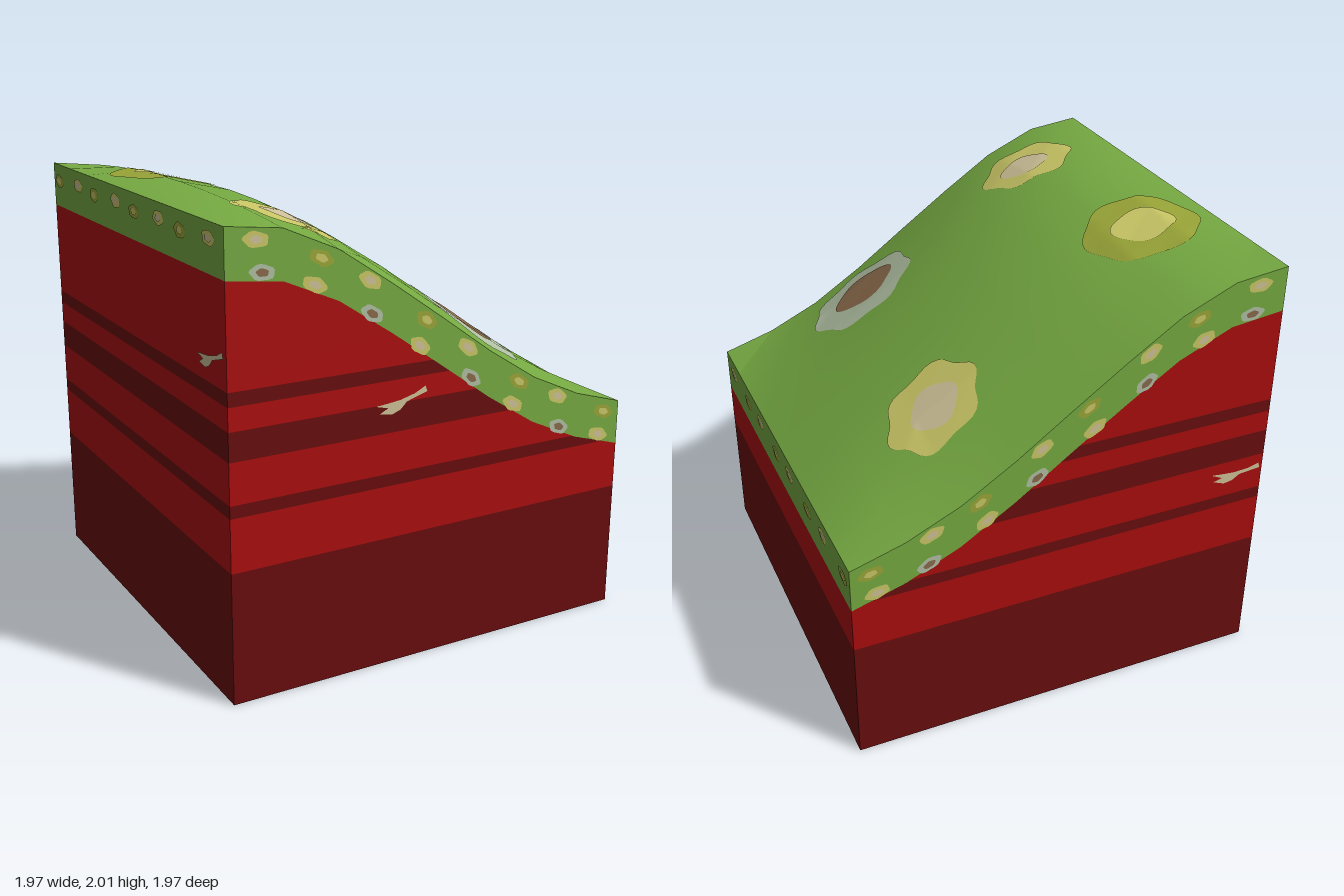
import * as THREE from 'three';

const W = 0.98, N = 8, STEP = (2 * W) / N, TURF = 0.205;
// Terrain heights along x: at the front/back rims and along the middle ridge
const RIM = [1.98, 1.953, 1.847, 1.686, 1.515, 1.34, 1.185, 1.073, 1.0];
const RIDGE = [1.98, 2.0, 1.943, 1.828, 1.68, 1.515, 1.345, 1.172, 1.0];

const gridX = (i) => -W + i * STEP;
const node = (i, j) => {
  const t = gridX(j) / W;
  return RIM[i] + (RIDGE[i] - RIM[i]) * (1 - t * t);
};

// Height of the faceted terrain at any point
function height(x, z) {
  const gx = (x + W) / STEP, gz = (z + W) / STEP;
  const i = Math.min(N - 1, Math.max(0, Math.floor(gx)));
  const j = Math.min(N - 1, Math.max(0, Math.floor(gz)));
  const u = gx - i, v = gz - j;
  const a = node(i, j), b = node(i, j + 1), c = node(i + 1, j + 1), d = node(i + 1, j);
  return u + v <= 1 ? a + u * (d - a) + v * (b - a) : c + (1 - u) * (b - c) + (1 - v) * (d - c);
}

// Underside of the turf, and the x where it falls to a given level
const soil = RIM.map((y, i) => new THREE.Vector2(gridX(i), y - TURF));
function soilX(y) {
  if (y <= soil[N].y) return W;
  for (let i = 0; i < N; i++) {
    const p = soil[i], q = soil[i + 1];
    if (y <= p.y && y >= q.y) return p.x + ((p.y - y) / (p.y - q.y)) * (q.x - p.x);
  }
  return -W;
}

// Irregular rounded outline
function blob(rx, ry, lobes, phase, wobble, n) {
  return Array.from({ length: n }, (_, k) => {
    const a = (k / n) * Math.PI * 2;
    const r = 1 + wobble * Math.sin(lobes * a + phase) + wobble * 0.5 * Math.sin(2 * a + phase * 2);
    return new THREE.Vector2(Math.cos(a) * rx * r, Math.sin(a) * ry * r);
  });
}

export function createModel() {
  const model = new THREE.Group();
  const mat = (name, color) => {
    const m = new THREE.MeshStandardMaterial({ color });
    m.name = name;
    return m;
  };
  const red = mat('red soil', 0xac0e0e);
  const dark = mat('dark red soil', 0x690d0d);
  const green = mat('grass green', 0x76aa42);
  const straw = mat('straw yellow', 0xcac766);
  const beige = mat('beige', 0xcfc298);
  const olive = mat('olive', 0x9aa638);
  const grey = mat('grey green', 0xb1c0a3);
  const brown = mat('brown', 0x8a6a4b);

  const add = (parent, name, geometry, material) => {
    const mesh = new THREE.Mesh(geometry, material);
    mesh.name = name;
    parent.add(mesh);
    return mesh;
  };
  const slab = (name, points, material) => {
    const g = new THREE.ExtrudeGeometry(new THREE.Shape(points), { depth: 2 * W, bevelEnabled: false });
    g.translate(0, 0, -W);
    add(model, name, g, material);
  };

  // Soil layers, cut off by the slope
  const levels = [0, 0.585, 0.82, 0.875, 1.055, 1.18, 1.28, 1.34, soil[0].y];
  for (let k = 0; k < levels.length - 1; k++) {
    const y0 = levels[k], y1 = levels[k + 1];
    const slope = soil.filter((p) => p.y > y0 + 1e-4 && p.y < y1 - 1e-4).reverse();
    const pts = [new THREE.Vector2(-W, y0), new THREE.Vector2(soilX(y0), y0), ...slope];
    if (soilX(y1) > -W) pts.push(new THREE.Vector2(soilX(y1), y1));
    pts.push(new THREE.Vector2(-W, y1));
    slab('soilLayer', pts, k % 2 ? red : dark);
  }

  // Turf band around the sides
  const rim = RIM.map((y, i) => new THREE.Vector2(gridX(i), y));
  slab('turfBand', [...soil, ...rim.reverse()], green);

  // Rolling grass surface
  const top = new THREE.PlaneGeometry(2 * W, 2 * W, N, N).rotateX(-Math.PI / 2);
  const pos = top.attributes.position;
  for (let j = 0; j <= N; j++) {
    for (let i = 0; i <= N; i++) pos.setY(j * (N + 1) + i, node(i, j));
  }
  top.computeVertexNormals();
  add(model, 'grassTop', top, green);

  // Patches draped over the grass
  function patch(name, cx, cz, rx, rz, lobes, phase, wobble, lift, material) {
    const outline = blob(rx, rz, lobes, phase, wobble, 48), rings = 8, n = outline.length;
    const v = [], idx = [];
    for (let r = 0; r <= rings; r++) {
      for (const p of outline) {
        const x = cx + (p.x * r) / rings, z = cz + (p.y * r) / rings;
        v.push(x, height(x, z) + lift, z);
      }
    }
    for (let r = 0; r < rings; r++) {
      for (let k = 0; k < n; k++) {
        const a = r * n + k, b = r * n + ((k + 1) % n), c = a + n, d = b + n;
        if (r > 0) idx.push(a, b, c);
        idx.push(b, d, c);
      }
    }
    const g = new THREE.BufferGeometry();
    g.setAttribute('position', new THREE.Float32BufferAttribute(v, 3));
    g.setIndex(idx);
    g.computeVertexNormals();
    add(model, name, g, material);
  }
  const patches = [
    ['olivePatch', -0.645, -0.35, 0.25, 0.255, 6, 0.4, 0.04, olive, -0.645, -0.36, 0.135, 0.13, straw],
    ['strawPatch', 0.415, -0.48, 0.205, 0.21, 6, 2.2, 0.07, straw, 0.41, -0.49, 0.105, 0.11, beige],
    ['strawPatch', -0.54, 0.615, 0.205, 0.21, 6, 0.6, 0.07, straw, -0.52, 0.605, 0.11, 0.1, beige],
    ['greyPatch', 0.345, 0.64, 0.24, 0.25, 7, 1.6, 0.05, grey, 0.33, 0.655, 0.14, 0.135, brown],
  ];
  for (const [name, x, z, rx, rz, lobes, phase, wobble, outer, ix, iz, irx, irz, inner] of patches) {
    patch(name, x, z, rx, rz, lobes, phase, wobble, 0.005, outer);
    patch(name + 'Centre', ix, iz, irx, irz, 4, phase, 0.06, 0.009, inner);
  }

  // Painted details on one side wall
  function wall(name, angle) {
    const g = new THREE.Group();
    g.name = name;
    g.rotation.y = angle;
    model.add(g);
    return g;
  }
  function pebble(parent, x, y, tilt, [outer, inner]) {
    [[outer, 1, 0.003], [inner, 0.5, 0.005]].forEach(([m, s, z]) => {
      const shape = new THREE.Shape(blob(0.056 * s, 0.031 * s, 5, x * 9, 0.07, 18));
      const mesh = add(parent, 'pebble', new THREE.ShapeGeometry(shape), m);
      mesh.position.set(x, y, W + z);
      mesh.rotation.z = tilt;
    });
  }
  function bone(parent, x, y, tilt) {
    const pts = [[-0.13, 0], [-0.07, 0.005], [-0.01, 0.012], [0.06, 0.03], [0.11, 0.055], [0.12, 0.03],
      [0.07, 0.015], [0.02, 0], [-0.01, -0.03], [-0.05, -0.045], [-0.11, -0.035], [-0.07, -0.015]];
    const shape = new THREE.Shape(pts.map(([a, b]) => new THREE.Vector2(a, b)).reverse());
    const mesh = add(parent, 'bone', new THREE.ShapeGeometry(shape), beige);
    mesh.position.set(x, y, W + 0.004);
    mesh.rotation.z = tilt;
  }
  const plain = [straw, beige], ochre = [olive, straw], stone = [grey, brown];

  // Front and back: a row of pebbles following the slope
  const front = wall('frontDetails', 0), back = wall('backDetails', Math.PI);
  const row = [
    [-0.85, 1.92, plain], [-0.825, 1.792, stone], [-0.57, 1.822, ochre], [-0.6, 1.72, plain],
    [-0.35, 1.71, plain], [-0.34, 1.573, stone], [-0.08, 1.515, ochre], [-0.11, 1.41, plain],
    [0.13, 1.37, plain], [0.15, 1.235, stone], [0.405, 1.18, ochre], [0.375, 1.083, plain],
    [0.62, 1.08, plain], [0.635, 0.935, stone], [0.89, 0.965, ochre], [0.865, 0.86, plain],
  ];
  for (const [x, y, kind] of row) {
    const tilt = Math.atan2(height(x + 0.05, W) - height(x - 0.05, W), 0.1);
    pebble(front, x, y, tilt, kind);
    pebble(back, -x, y, -tilt, kind);
  }
  bone(front, -0.19, 1.18, 0);
  bone(back, 0.84, 0.98, -0.2);

  // Low and high ends: level rows of pebbles
  const low = wall('lowEndDetails', Math.PI / 2), high = wall('highEndDetails', -Math.PI / 2);
  for (let k = 0; k < 4; k++) {
    const z = 0.845 - k * 0.49;
    pebble(low, -z, 0.935, 0, plain);
    pebble(low, 0.272 - z, 0.92, 0, ochre);
    pebble(high, z, 1.915, 0, plain);
    pebble(high, z - 0.272, 1.9, 0, ochre);
  }
  bone(high, 0.84, 1.44, 0);

  return model;
}
